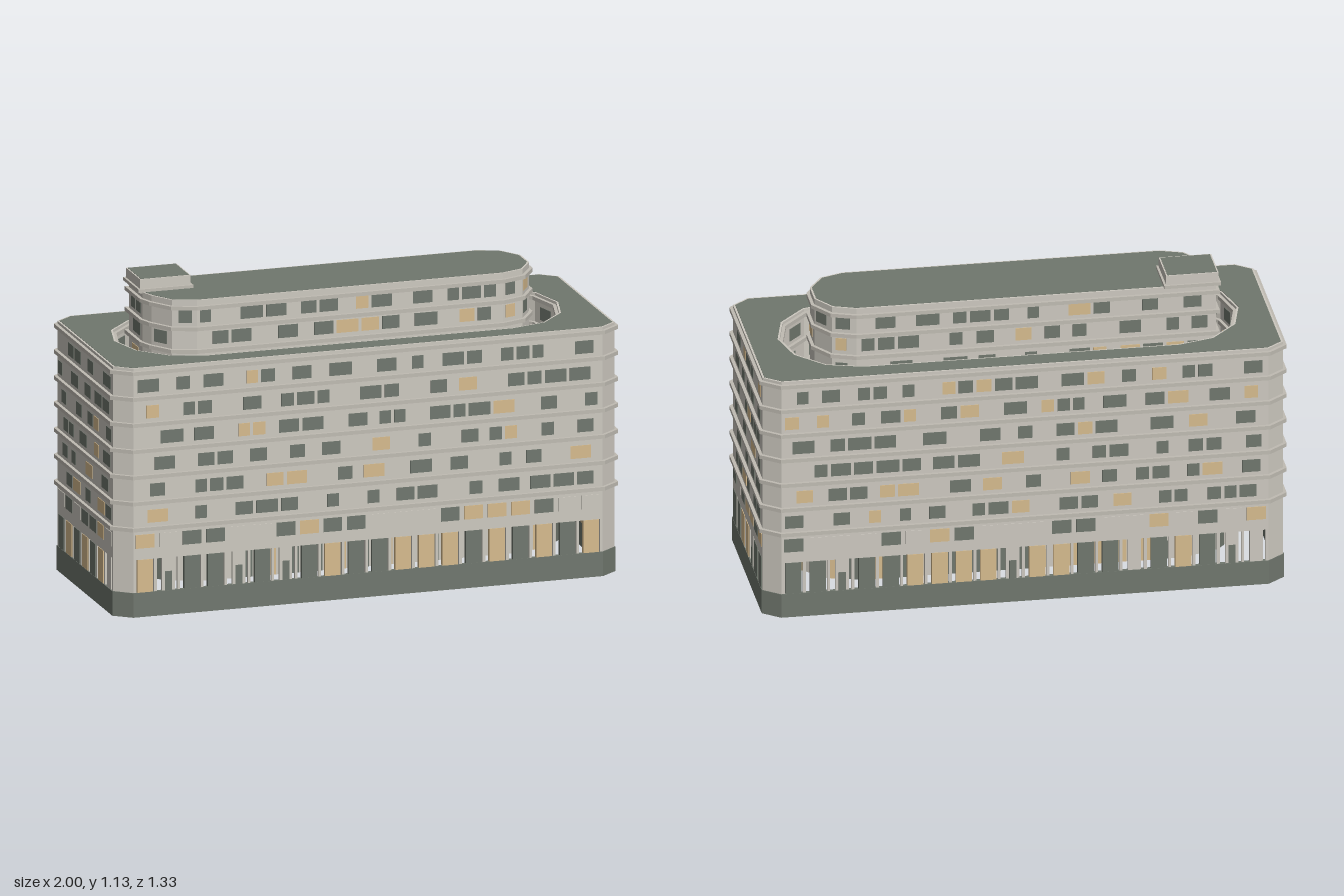
import * as THREE from 'three';
import { mergeGeometries } from 'three/addons/utils/BufferGeometryUtils.js';

const mat = (name, color) => Object.assign(new THREE.MeshStandardMaterial({ color }), { name });
const wallMat = mat('stone wall', 0xcdc9c0);
const ledgeMat = mat('stone ledge', 0xc0bcb3);
const darkMat = mat('grey green', 0x70776e);
const glowMat = mat('warm panel', 0xd6bb8e);

const WALL = 0.012;
// Heights of the ledges, one under each storey and one under the parapet
const RING_LEDGES = [0.323, 0.419, 0.515, 0.611, 0.707, 0.803, 0.898];
const CORE_LEDGES = [...RING_LEDGES, 0.981, 1.057];

// Seeded random numbers
function seeded(seed) {
  return () => {
    seed = (seed * 16807) % 2147483647;
    return seed / 2147483647;
  };
}

// Outward (positive) or inward mitred offset of a convex counter-clockwise outline
function offset(pts, d) {
  const n = pts.length;
  const normal = (a, b) => new THREE.Vector2(b.y - a.y, a.x - b.x).normalize();
  return pts.map((p, i) => {
    const n1 = normal(pts[(i + n - 1) % n], p), n2 = normal(p, pts[(i + 1) % n]);
    return n1.clone().add(n2).multiplyScalar(d / (1 + n1.dot(n2))).add(p);
  });
}

// Flat plate from an outline in plan, with optional hole
function slab(outline, hole, y0, y1) {
  const shape = new THREE.Shape(outline);
  if (hole) shape.holes.push(new THREE.Path(hole));
  const g = new THREE.ExtrudeGeometry(shape, { depth: y1 - y0, bevelEnabled: false });
  return g.rotateX(Math.PI / 2).translate(0, y1, 0);
}

// Closed strip around an outline between two offsets
const band = (pts, dIn, dOut, y0, y1) => slab(offset(pts, dOut), offset(pts, dIn), y0, y1);

function add(group, name, material, geometries) {
  const mesh = new THREE.Mesh(mergeGeometries(geometries), material);
  mesh.name = name;
  group.add(mesh);
}

// Storeyed wall around an outline; side is +1 when it faces outward, -1 when inward.
// A street wall has a dark plinth and gaps between its shopfronts.
function facade(name, pts, side, levels, top, street, seed) {
  const group = new THREE.Group();
  group.name = name;
  const rand = seeded(seed);
  const walls = [], ledges = [], dark = [], glow = [];
  const lo = Math.min(0, -side * WALL), hi = Math.max(0, -side * WALL);
  const strip = (list, y0, y1, out = 0) =>
    list.push(band(pts, side > 0 ? lo : lo - out, side > 0 ? hi + out : hi, y0, y1));

  if (street) strip(dark, 0, 0.09, 0.003);
  strip(walls, street ? 0.21 : 0.09, top);
  levels.forEach(y => strip(ledges, y - 0.007, y + 0.007, 0.012));

  pts.forEach((a, k) => {
    const b = pts[(k + 1) % pts.length];
    const len = a.distanceTo(b), dir = b.clone().sub(a).divideScalar(len);
    const mid = -side * WALL / 2;
    // Box standing in the wall plane, centred at distance s along this edge
    const panel = (list, s, w, y0, y1, thick = WALL + 0.004) => {
      const g = new THREE.BoxGeometry(w, y1 - y0, thick).toNonIndexed();
      g.rotateY(-Math.atan2(dir.y, dir.x));
      list.push(g.translate(a.x + dir.x * s + dir.y * mid, (y0 + y1) / 2, a.y + dir.y * s - dir.x * mid));
    };

    // Solid chamfered corners
    if (len < 0.085) {
      if (street) panel(walls, len / 2, len, 0.09, 0.21, WALL);
      return;
    }
    const bays = Math.max(1, Math.round(len / 0.088)), step = len / bays;
    for (let i = 0; i < bays; i++) {
      const s = (i + 0.5) * step, r = rand(), m = rand();
      // Shopfronts, plain bays with a narrow door, and piers
      if (r < 0.42) panel(dark, s, step - 0.03, 0.09, 0.21);
      else if (r < 0.64) panel(glow, s, step - 0.03, 0.09, 0.21);
      else {
        if (street) panel(walls, s, step - 0.04, 0.09, 0.21, WALL);
        if (r > 0.82) panel(m < 0.3 ? glow : dark, s, 0.026, 0.09, 0.16);
      }
      if (street) panel(walls, i * step + 0.005, 0.01, 0.09, 0.21, WALL);
      // Mezzanine panels
      panel(m < 0.4 ? dark : m < 0.52 ? glow : walls, s, step - 0.018, 0.252, 0.302);
    }
    if (street) panel(walls, len - 0.006, 0.012, 0.09, 0.21, WALL);
    // Irregular windows on the upper floors
    levels.slice(0, -1).forEach(ledge => {
      let s = 0.015 + rand() * 0.04;
      while (s < len - 0.05) {
        const w = Math.min(0.04 + rand() * 0.045, len - 0.012 - s);
        panel(rand() < 0.22 ? glow : dark, s + w / 2, w, ledge + 0.021, ledge + 0.068);
        s += w + (rand() < 0.4 ? 0.012 : 0.04 + rand() * 0.08);
      }
    });
  });
  add(group, name + 'Walls', wallMat, walls);
  add(group, name + 'Ledges', ledgeMat, ledges);
  add(group, name + 'DarkPanels', darkMat, dark);
  add(group, name + 'LitPanels', glowMat, glow);
  return group;
}

// Long outline with rounded ends of the given number of sides
function stadium(straight, rx, half, sides) {
  const pts = [];
  for (const end of [1, -1])
    for (let i = 0; i <= sides; i++) {
      const t = -Math.PI / 2 + Math.PI * i / sides;
      pts.push(new THREE.Vector2(end * (straight + rx * Math.cos(t)), end * half * Math.sin(t)));
    }
  return pts;
}

export function createModel() {
  const model = new THREE.Group();
  const building = new THREE.Group();
  building.name = 'building';
  building.rotation.y = -THREE.MathUtils.degToRad(20.9);
  model.add(building);

  // Plans of the three walls
  const v = (x, y) => new THREE.Vector2(x, y);
  const outer = [
    v(0.874, -0.363), v(0.934, -0.315), v(0.934, 0.315), v(0.874, 0.363),
    v(-0.874, 0.363), v(-0.934, 0.315), v(-0.934, -0.315), v(-0.874, -0.363),
  ];
  const court = stadium(0.565, 0.255, 0.276, 6);
  // The core keeps one square corner at the stair
  const core = stadium(0.57, 0.14, 0.157, 5).filter(p => p.x > 0 || p.y > 0.03);
  core.push(v(-0.72, 0), v(-0.72, -0.157));

  building.add(facade('outerFacade', outer, 1, RING_LEDGES, 0.915, true, 11));
  building.add(facade('courtyardFacade', court, -1, RING_LEDGES, 0.915, false, 47));
  building.add(facade('coreFacade', core, 1, CORE_LEDGES, 1.085, false, 83));

  // Roofs, set inside pale parapets
  add(building, 'ringRoof', darkMat, [slab(offset(outer, -0.007), offset(court, 0.007), 0.9, 0.916)]);
  add(building, 'coreRoof', darkMat, [slab(offset(core, -0.007), null, 1.07, 1.086)]);

  // Stair house on the core roof
  const stair = [v(-0.728, -0.165), v(-0.54, -0.165), v(-0.54, -0.004), v(-0.728, -0.004)];
  add(building, 'stairHouseWalls', wallMat, [band(stair, -WALL, 0, 1.08, 1.132)]);
  add(building, 'stairHouseLedge', ledgeMat, [band(stair, -WALL, 0.008, 1.085, 1.097)]);
  add(building, 'stairHouseRoof', darkMat, [slab(offset(stair, -0.005), null, 1.12, 1.133)]);
  return model;
}
